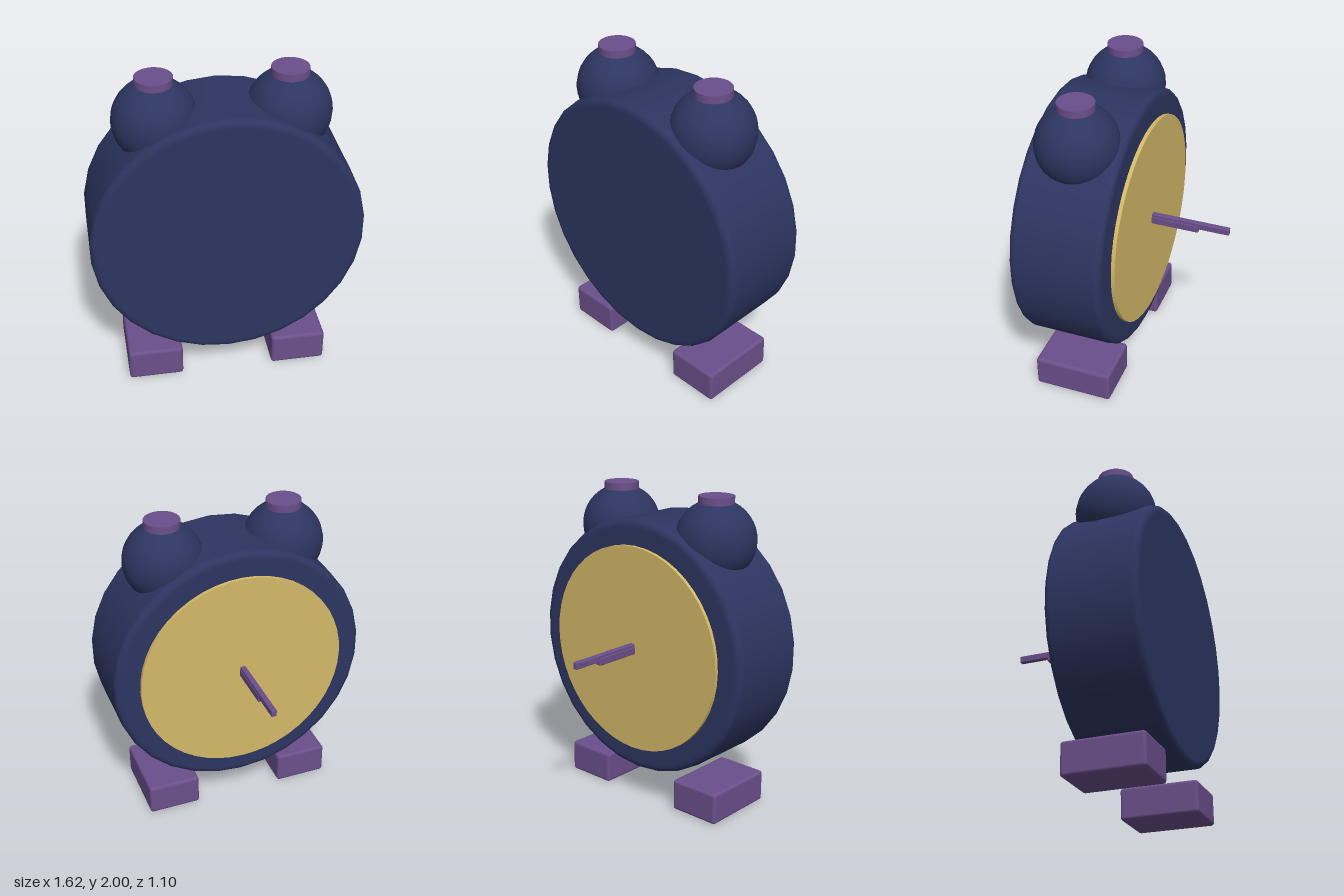
import * as THREE from 'three';
import { RoundedBoxGeometry } from 'three/addons/geometries/RoundedBoxGeometry.js';

export function createModel() {
  const model = new THREE.Group();
  model.name = 'alarmClock';

  const paint = (name, color) => {
    const m = new THREE.MeshStandardMaterial({ color });
    m.name = name;
    return m;
  };
  const navy = paint('navy', 0x2d3561);
  const purple = paint('purple', 0x6b4f8b);
  const gold = paint('gold', 0xd4b968);

  const add = (name, geometry, material, x, y, z) => {
    const mesh = new THREE.Mesh(geometry, material);
    mesh.name = name;
    mesh.position.set(x, y, z);
    model.add(mesh);
    return mesh;
  };

  const centreY = 1.026;
  const midZ = 0.266;

  // Drum body: a 30-sided lathe with softly rounded rims, axis turned to z
  const R = 0.815, half = 0.284, bevel = 0.04, steps = 4;
  const profile = [new THREE.Vector2(0, -half), new THREE.Vector2(R - bevel - 0.01, -half)];
  for (const side of [-1, 1]) {
    for (let i = 0; i <= steps; i++) {
      const a = (side < 0 ? i - steps : i) / steps * Math.PI / 2;
      profile.push(new THREE.Vector2(
        R - bevel + bevel * Math.cos(a),
        side * (half - bevel) + bevel * Math.sin(a)));
    }
  }
  profile.push(new THREE.Vector2(R - bevel - 0.01, half), new THREE.Vector2(0, half));
  add('body', new THREE.LatheGeometry(profile, 30).rotateX(-Math.PI / 2), navy, 0, centreY, midZ);

  // Dial plate floating just behind the drum
  add('dial', new THREE.CylinderGeometry(0.66, 0.66, 0.023, 48).rotateX(-Math.PI / 2),
    gold, 0, centreY, -0.0415);

  // Long and short hands standing out from the dial
  const hand = (name, width, y0, y1, tip) => {
    const root = -0.045;
    add(name, new RoundedBoxGeometry(width, y1 - y0, root - tip, 2, 0.005),
      purple, 0, (y0 + y1) / 2, (root + tip) / 2);
  };
  hand('longHand', 0.034, 1.028, 1.07, -0.55);
  hand('shortHand', 0.042, 1.004, 1.051, -0.355);

  // Bells, their caps and the feet, mirrored left and right
  for (const [side, s] of [['left', 1], ['right', -1]]) {
    add(side + 'Bell', new THREE.SphereGeometry(0.25, 28, 20), navy, s * 0.387, 1.73, midZ);
    add(side + 'BellCap', new THREE.CylinderGeometry(0.11, 0.11, 0.07, 24),
      purple, s * 0.387, 1.965, midZ);
    add(side + 'Foot', new RoundedBoxGeometry(0.34, 0.205, 0.5, 3, 0.02),
      purple, s * 0.455, 0.1025, midZ);
  }

  return model;
}
